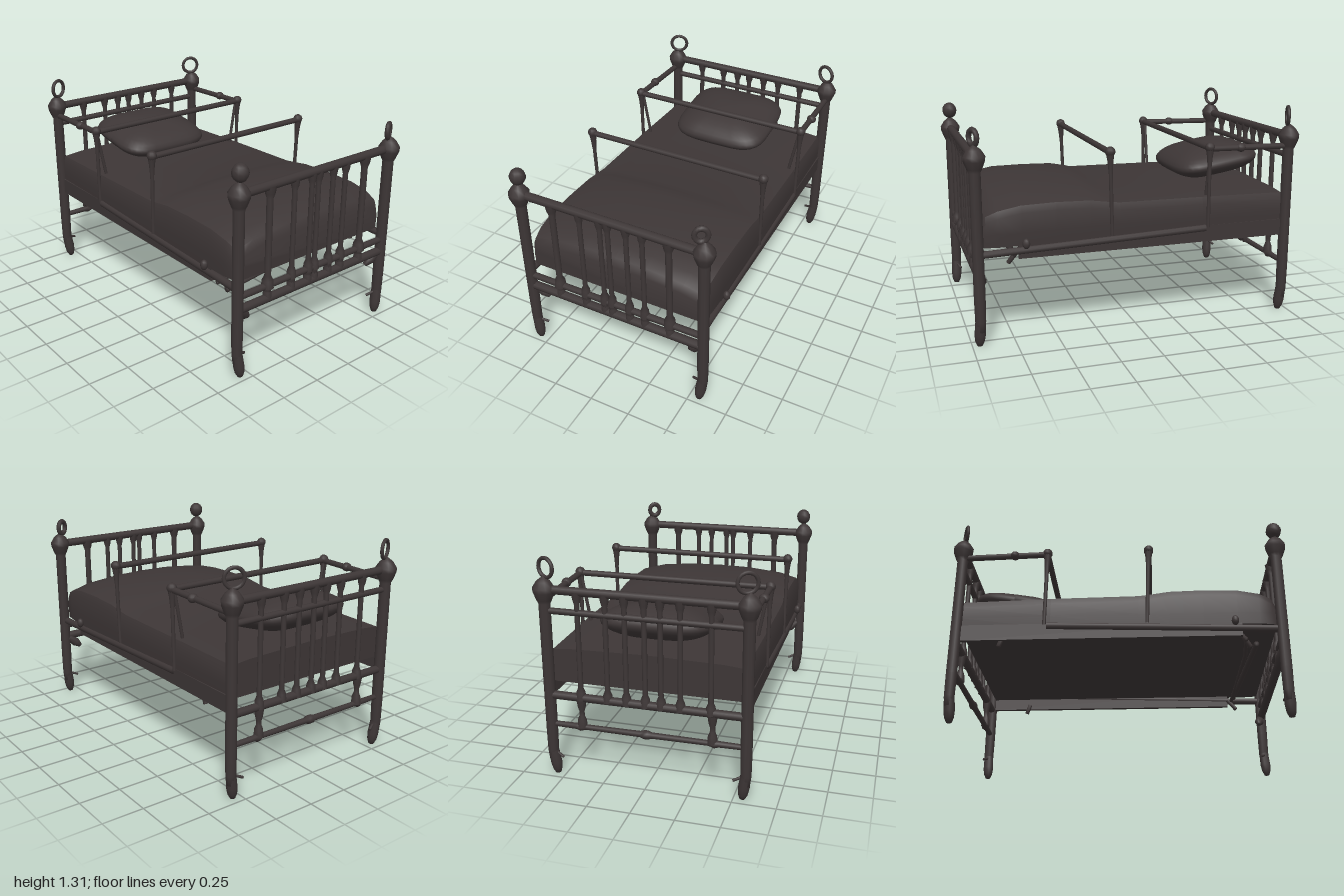
import * as THREE from 'three';
import { toCreasedNormals } from 'three/addons/utils/BufferGeometryUtils.js';

const iron = new THREE.MeshStandardMaterial({ color: 0x3d3636, side: THREE.DoubleSide });
iron.name = 'dark iron';
const V = (x, y, z) => new THREE.Vector3(x, y, z);

export function createModel() {
  const bed = new THREE.Group();
  bed.name = 'bed';

  const add = (name, geo, parent = bed) => {
    const m = new THREE.Mesh(geo, iron);
    m.name = name;
    parent.add(m);
    return m;
  };
  // turned bar between two points; profile is [fraction along, radius]
  const turned = (name, a, b, profile, parent) => {
    const d = b.clone().sub(a), len = d.length();
    const m = add(name, new THREE.LatheGeometry(profile.map(([t, r]) => new THREE.Vector2(r, t * len)), 10), parent);
    m.position.copy(a);
    m.quaternion.setFromUnitVectors(V(0, 1, 0), d.normalize());
    return m;
  };
  const rod = (name, a, b, r, parent) => turned(name, a, b, [[0, 0], [0, r], [1, r], [1, 0]], parent);
  const knob = (name, x, y, z, r, sy = 1, parent = bed) => {
    const m = add(name, new THREE.SphereGeometry(r, 10, 8), parent);
    m.position.set(x, y, z);
    m.scale.y = sy;
    return m;
  };
  // thin spindle with flared collars where it meets the rails
  const spindle = (name, x, y0, y1, z, r, parent) => {
    const e = 0.045 / (y1 - y0);
    return turned(name, V(x, y0, z), V(x, y1, z),
      [[0, r * 1.9], [e, r * 1.7], [e * 1.6, r], [1 - e * 1.6, r], [1 - e, r * 1.5], [1, r * 1.9]], parent);
  };

  // corner post with swept foot, collar and knob
  const post = (x, z, top, parent) => {
    const s = Math.sign(x);
    const g = new THREE.Group();
    g.name = 'cornerPost';
    parent.add(g);
    const prof = [[0, 0.1], [0.024, 0.1], [0.031, 0.16], [0.033, 0.3], [0.033, top - 0.08], [0.043, top - 0.06],
      [0.06, top - 0.015], [0.062, top + 0.01], [0.04, top + 0.045], [0.022, top + 0.06], [0, top + 0.075]];
    add('postShaft', new THREE.LatheGeometry(prof.map(p => new THREE.Vector2(...p)), 10), g).position.set(x, 0, z);
    turned('foot', V(x - s * 0.02, 0.008, z + 0.008), V(x, 0.17, z),
      [[0, 0], [0.02, 0.016], [0.2, 0.028], [0.45, 0.033], [1, 0.03]], g);
    rod('footSpur', V(x - s * 0.02, 0.15, z), V(x - s * 0.07, 0.13, z - 0.02), 0.008, g);
  };

  // foot end
  const footEnd = new THREE.Group();
  footEnd.name = 'footEnd';
  bed.add(footEnd);
  const fz = 0.95;
  for (const s of [-1, 1]) {
    post(s * 0.578, fz, 1.1, footEnd);
    turned('footBracket', V(s * 0.56, 0.42, 0.94), V(s * 0.48, 0.35, 0.92), [[0, 0.022], [0.6, 0.03], [1, 0.014], [1, 0]], footEnd);
  }
  rod('topRail', V(-0.57, 1.1, fz), V(0.57, 1.1, fz), 0.026, footEnd);
  rod('middleRail', V(-0.57, 0.51, fz), V(0.57, 0.51, fz), 0.02, footEnd);
  rod('lowerRail', V(-0.57, 0.432, fz), V(0.57, 0.432, fz), 0.026, footEnd);
  for (const x of [-0.365, -0.185, -0.055, -0.005, 0.11, 0.21, 0.37]) {
    const r = Math.abs(x) > 0.3 ? 0.019 : 0.015;
    spindle('footSpindle', x, 0.5, 1.1, fz, r, footEnd);
    spindle('shortSpindle', x, 0.43, 0.52, fz, 0.014, footEnd);
  }
  // foot finials: a solid ball and a small loop
  knob('ballFinial', -0.572, 1.218, fz, 0.047, 1.1, footEnd);
  const loop = add('loopFinial', new THREE.TorusGeometry(0.036, 0.015, 8, 16), footEnd);
  loop.position.set(0.558, 1.21, fz);
  loop.scale.y = 1.15;
  loop.rotation.y = 0.5;

  // head end
  const headEnd = new THREE.Group();
  headEnd.name = 'headEnd';
  bed.add(headEnd);
  const hz = -0.955;
  for (const s of [-1, 1]) {
    post(s * 0.57, hz, 1.13, headEnd);
    const ring = add('ringFinial', new THREE.TorusGeometry(0.054, 0.011, 8, 20), headEnd);
    ring.position.set(s * 0.555, 1.25, hz + 0.005);
    ring.rotation.y = -s * 0.4;
    spindle('shortSpindle', s * 0.38, 0.33, 0.5, hz, 0.015, headEnd);
  }
  rod('topRail', V(-0.56, 1.13, hz), V(0.56, 1.13, hz), 0.024, headEnd);
  rod('upperRail', V(-0.56, 1.01, hz), V(0.56, 1.01, hz), 0.018, headEnd);
  rod('middleRail', V(-0.56, 0.51, hz), V(0.56, 0.51, hz), 0.024, headEnd);
  turned('lowerRail', V(-0.56, 0.33, hz), V(0.56, 0.33, hz),
    [[0, 0.016], [0.13, 0.018], [0.15, 0.026], [0.18, 0.016], [0.47, 0.018], [0.49, 0.026], [0.51, 0.026],
      [0.53, 0.018], [0.82, 0.016], [0.85, 0.026], [0.87, 0.018], [1, 0.016]], headEnd);
  for (const x of [-0.37, -0.2, -0.09, 0, 0.11, 0.22, 0.38]) spindle('headSpindle', x, 0.5, 1.13, hz, 0.015, headEnd);

  // mattress and blanket: cross-sections [z, crown height, edge height, half width]
  const stations = [[0.925, 0.77, 0.72, 0.545], [0.9, 0.815, 0.76, 0.562], [0.83, 0.85, 0.79, 0.572], [0.7, 0.873, 0.815, 0.575],
    [0.5, 0.873, 0.82, 0.575], [0.3, 0.868, 0.815, 0.575], [0.2, 0.845, 0.8, 0.575], [0.12, 0.815, 0.79, 0.575],
    [-0.4, 0.805, 0.785, 0.573], [-0.93, 0.795, 0.775, 0.565]];
  const pos = [], idx = [], n = 13;
  for (const [z, c, e, w] of stations) {
    const half = [[w, 0.585], [w + 0.003, 0.66], [w, e - 0.04], [w - 0.015, e], [w * 0.77, e + (c - e) * 0.55], [w * 0.35, c - 0.004]];
    for (const [x, y] of [...half, [0, c], ...half.slice().reverse().map(([x, y]) => [-x, y])]) pos.push(x, y, z);
  }
  for (let i = 0; i < stations.length - 1; i++) {
    for (let j = 0; j < n; j++) {
      const a = i * n + j, b = i * n + (j + 1) % n;
      idx.push(a, a + n, b, b, a + n, b + n);
    }
  }
  const last = (stations.length - 1) * n;
  for (let j = 1; j < n - 1; j++) idx.push(0, j, j + 1, last, last + j + 1, last + j);
  const mat = new THREE.BufferGeometry();
  mat.setAttribute('position', new THREE.Float32BufferAttribute(pos, 3));
  mat.setIndex(idx);
  add('mattress', toCreasedNormals(mat, 0.7));

  // side frames, bolts and hooks under the mattress
  for (const s of [-1, 1]) {
    add('sideFrame', new THREE.BoxGeometry(0.024, 0.1, 1.67)).position.set(s * 0.563, 0.56, -0.115);
    rod('sideRail', V(s * 0.57, 0.55, 0.93), V(s * 0.57, 0.595, -0.42), 0.022);
    knob('sideBolt', s * 0.592, 0.6, 0.68, 0.022, 1.4);
    rod('underHook', V(s * 0.55, 0.54, -0.68), V(s * 0.55, 0.48, -0.7), 0.014);
    rod('underHook', V(s * 0.52, 0.54, 0.72), V(s * 0.5, 0.47, 0.77), 0.014);
  }
  rod('tieRod', V(-0.53, 0.475, 0.8), V(0.53, 0.565, 0.76), 0.016);
  rod('tieRod', V(-0.55, 0.5, 0.74), V(-0.15, 0.585, 0.78), 0.012);
  rod('tieRod', V(-0.15, 0.585, 0.78), V(0.55, 0.53, 0.74), 0.012);

  // hoops across the bed
  const hoop = (z, y, lean) => {
    const g = new THREE.Group();
    g.name = 'hoop';
    bed.add(g);
    for (const s of [-1, 1]) {
      turned('hoopPost', V(s * 0.577, 0.6, z + lean), V(s * 0.582, y, z),
        [[0, 0.011], [0.75, 0.012], [0.9, 0.018], [1, 0.026]], g);
      knob('hoopKnob', s * 0.582, y + 0.005, z, 0.03, 1, g);
    }
    rod('hoopBar', V(-0.58, y, z), V(0.58, y, z), 0.018, g);
  };
  hoop(0.185, 1.09, -0.015);
  hoop(-0.43, 1.083, -0.005);

  // arm rails from the hoop to the head posts, with slanting braces
  for (const s of [-1, 1]) {
    rod('armRail', V(s * 0.582, 1.08, -0.42), V(s * 0.575, 1.07, -0.95), 0.018);
    knob('armKnob', s * 0.583, 1.077, -0.63, 0.03, 0.9);
    rod('armBrace', V(s * 0.57, 1.06, -0.44), V(s * 0.52, 0.78, -0.44), 0.01);
  }

  // pillow: squared outline, full middle and pinched rim, leaning towards the head
  const pil = new THREE.SphereGeometry(1, 32, 16);
  const p = pil.attributes.position;
  const square = v => Math.sign(v) * Math.pow(Math.abs(v), 0.5);
  for (let i = 0; i < p.count; i++) {
    const x = p.getX(i), y = p.getY(i), z = p.getZ(i), r = Math.max(Math.hypot(x, z), 1e-6);
    p.setXYZ(i, square(x / r) * r * 0.325, Math.sign(y) * Math.pow(Math.abs(y), 1.1) * 0.108, square(z / r) * r * 0.285);
  }
  pil.computeVertexNormals();
  const pillow = add('pillow', pil);
  pillow.position.set(-0.015, 0.918, -0.665);
  pillow.rotation.x = 0.16;

  return bed;
}
